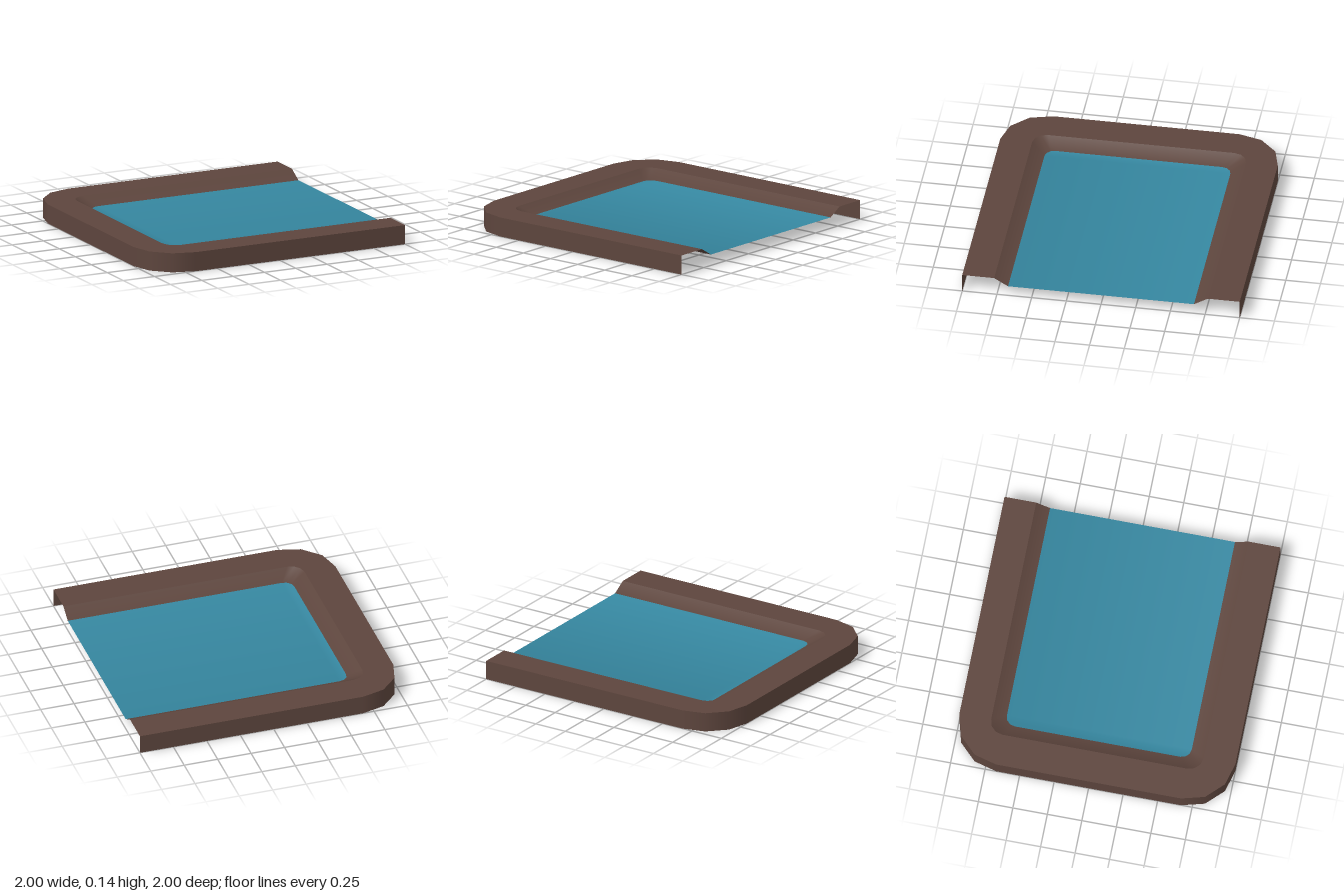
import * as THREE from 'three';

const ARC_STEPS = 3;

// U-shaped outline, open at +x: back edge, two rounded corners, front edge
function outline(edge, radius, y) {
  const c = edge - radius;
  const half = [{ x: 1, z: -edge, dx: 0, dz: -1 }];
  for (let i = 0; i <= ARC_STEPS; i++) {
    const a = (i / ARC_STEPS) * Math.PI / 2;
    const dx = -Math.sin(a), dz = -Math.cos(a);
    half.push({ x: -c + dx * radius, z: -c + dz * radius, dx, dz });
  }
  const mirrored = half.slice().reverse().map(p => ({ ...p, z: -p.z, dz: -p.dz }));
  return [...half, ...mirrored].map(p => ({ ...p, y }));
}

// Normals lean outward by "out" and upward by "up"
function geometryFrom(rings, index) {
  const pos = [], nor = [];
  for (const { points, out, up } of rings) {
    for (const p of points) {
      pos.push(p.x, p.y, p.z);
      const n = new THREE.Vector3(p.dx * out, up, p.dz * out).normalize();
      nor.push(n.x, n.y, n.z);
    }
  }
  const g = new THREE.BufferGeometry();
  g.setAttribute('position', new THREE.Float32BufferAttribute(pos, 3));
  g.setAttribute('normal', new THREE.Float32BufferAttribute(nor, 3));
  g.setIndex(index);
  return g;
}

// Strip of quads between two outlines
function band(a, b) {
  const n = a.points.length, index = [];
  for (let i = 0; i < n - 1; i++) {
    index.push(i, i + 1, n + i + 1, i, n + i + 1, n + i);
  }
  return geometryFrom([a, b], index);
}

// Flat sheet filling an outline, joining back points to front points
function sheet(ring) {
  const n = ring.points.length, index = [];
  for (let i = 0; i < n / 2 - 1; i++) {
    const j = n - 1 - i;
    index.push(i, i + 1, j - 1, i, j - 1, j);
  }
  return geometryFrom([ring], index);
}

export function createModel() {
  const group = new THREE.Group();
  const stone = new THREE.MeshStandardMaterial({ name: 'brown stone', color: 0x5d453d, side: THREE.DoubleSide });
  const water = new THREE.MeshStandardMaterial({ name: 'blue water', color: 0x35869f, side: THREE.DoubleSide });

  const add = (name, geometry, material) => {
    const mesh = new THREE.Mesh(geometry, material);
    mesh.name = name;
    group.add(mesh);
  };

  const foot = outline(1, 0.33, 0);
  const outerTop = outline(1, 0.33, 0.14);
  const innerTop = outline(0.77, 0.1, 0.14);
  const waterline = outline(0.67, 0.07, 0.08);

  // Outer wall and flat rim
  add('outerWall', band({ points: foot, out: 1, up: 0 }, { points: outerTop, out: 1, up: 0 }), stone);
  add('rim', band({ points: outerTop, out: 0, up: 1 }, { points: innerTop, out: 0, up: 1 }), stone);

  // Sloped bank, softly shaded into the water
  const shore = { points: waterline, out: -0.27, up: 0.96 };
  add('bank', band({ points: innerTop, out: -0.51, up: 0.86 }, shore), stone);
  add('waterSurface', sheet(shore), water);

  return group;
}
